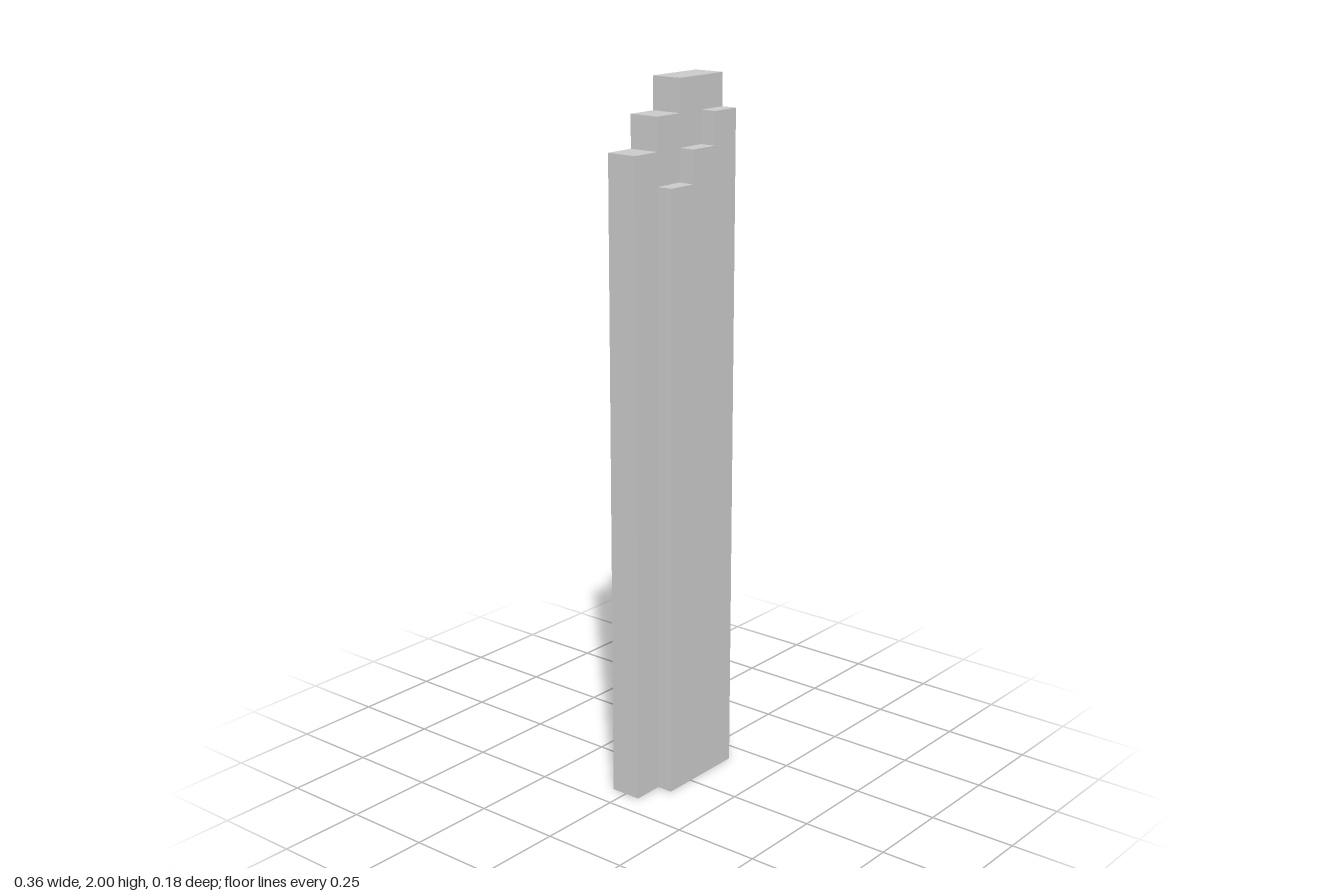
import * as THREE from 'three';

const U = 2 / 22; // grid unit: the pillar is 22 units tall

// Stepped silhouette: each step is [x where it starts, height], ending at xEnd
function steppedSlab(name, steps, xEnd, zBack, depth, material) {
  const shape = new THREE.Shape();
  shape.moveTo(steps[0][0] * U, 0);
  shape.lineTo(xEnd * U, 0);
  for (let i = steps.length - 1, right = xEnd; i >= 0; i--) {
    const [left, top] = steps[i];
    shape.lineTo(right * U, top * U);
    shape.lineTo(left * U, top * U);
    right = left;
  }
  shape.closePath();
  const geometry = new THREE.ExtrudeGeometry(shape, { depth: depth * U, bevelEnabled: false });
  geometry.translate(0, 0, zBack * U);
  const mesh = new THREE.Mesh(geometry, material);
  mesh.name = name;
  return mesh;
}

export function createModel() {
  const group = new THREE.Group();
  group.name = 'steppedPillar';
  const material = new THREE.MeshStandardMaterial({ color: 0xcccccc, flatShading: true });

  // Tall central slab
  group.add(steppedSlab('coreSlab', [[-2, 20], [-1, 21], [0, 22]], 2, -0.5, 1, material));

  // Thinner, lower slabs on the front and back
  const flankSteps = [[-1, 19], [0, 20], [1, 21]];
  group.add(steppedSlab('frontSlab', flankSteps, 2, 0.5, 0.5, material));
  group.add(steppedSlab('backSlab', flankSteps, 2, -1, 0.5, material));

  return group;
}
